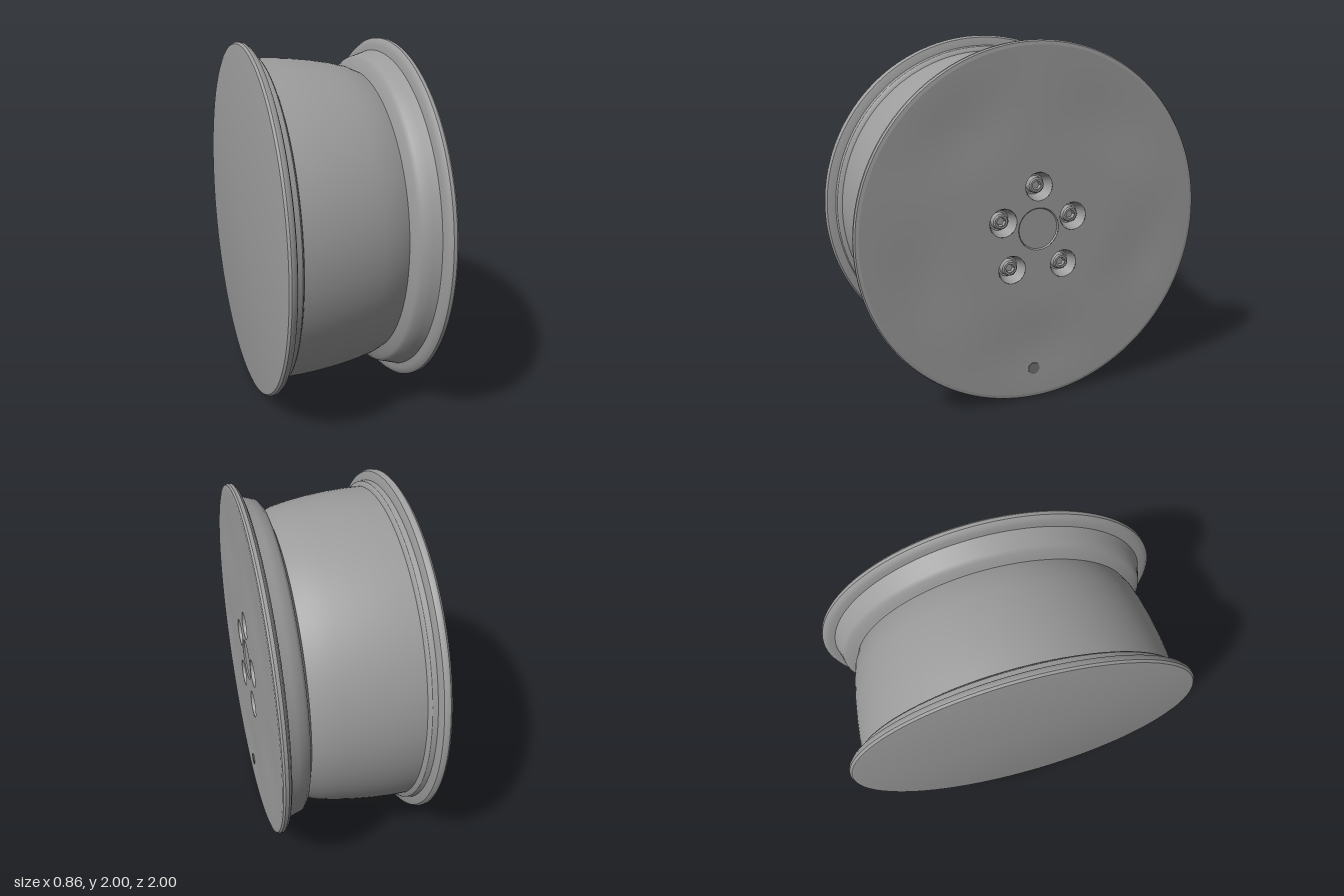
import * as THREE from 'three';
import { toCreasedNormals } from 'three/addons/utils/BufferGeometryUtils.js';

const FACE = 0.428;       // x of the outer face
const HUB = 0.4;          // radius of the flat hub area
const LUGS = [[0.235, 0], [0.053, 0.206], [0.053, -0.206], [-0.214, 0.155], [-0.214, -0.152]]; // y, z

// Turned part around the x axis; profile points are [radius, x]
function turned(profile, segments) {
  const pts = profile.map(([r, x]) => new THREE.Vector2(r, x));
  return new THREE.LatheGeometry(pts, segments).rotateZ(-Math.PI / 2);
}

export function createModel() {
  const metal = new THREE.MeshStandardMaterial({ color: 0x9c9c9c });
  metal.name = 'grey metal';
  const dark = new THREE.MeshStandardMaterial({ color: 0x747474 });
  dark.name = 'dark grey';

  const wheel = new THREE.Group();
  wheel.name = 'wheelRim';
  wheel.position.y = 1;

  function add(name, geometry, material = metal, y = 0, z = 0, x = 0) {
    const mesh = new THREE.Mesh(geometry, material);
    mesh.name = name;
    mesh.position.set(x, y, z);
    wheel.add(mesh);
  }

  // Closed back, both flanges and the tapering barrel
  add('barrel', toCreasedNormals(turned([
    [0, -0.43], [0.975, -0.43], [0.99, -0.427], [1, -0.415], [1, -0.4], [0.99, -0.385],
    [0.965, -0.376], [0.943, -0.372], [0.938, -0.345], [0.93, -0.337], [0.912, -0.33],
    [0.911, -0.24], [0.905, -0.14], [0.892, -0.02], [0.874, 0.09], [0.853, 0.18], [0.826, 0.243],
    [0.84, 0.25], [0.885, 0.262], [0.905, 0.28], [0.92, 0.33], [0.933, 0.37],
    [0.965, 0.375], [0.988, 0.384], [1, 0.397], [1, 0.415], [0.993, 0.425], [0.975, FACE],
  ], 128), 0.6));

  // Face with very shallow hollows between five broad spokes
  const rings = [];
  for (let i = 0; i <= 16; i++) rings.push([0.975 + (HUB - 0.975) * i / 16, FACE]);
  const face = turned(rings, 128);
  const p = face.attributes.position;
  for (let i = 0; i < p.count; i++) {
    const y = p.getY(i), z = p.getZ(i);
    const t = (Math.hypot(y, z) - HUB) / (0.975 - HUB);
    const hollow = (1 - Math.cos(5 * Math.atan2(z, y))) / 2;
    p.setX(i, FACE - 0.008 * hollow * Math.sin(Math.PI * Math.min(1, Math.max(0, t))) ** 2);
  }
  add('spokeFace', toCreasedNormals(face, 0.6));

  // Flat hub with openings for the lugs and the centre cap
  const shape = new THREE.Shape().absarc(0, 0, HUB, 0, Math.PI * 2);
  for (const [y, z, r] of [...LUGS.map(l => [...l, 0.078]), [0, 0, 0.118]]) {
    shape.holes.push(new THREE.Path().absarc(-z, y, r, 0, Math.PI * 2, true));
  }
  add('hub', new THREE.ShapeGeometry(shape, 64).rotateY(Math.PI / 2), metal, 0, 0, FACE);
  add('centreCap', toCreasedNormals(turned([[0.118, 0], [0.112, -0.008], [0, -0.008]], 48), 0.5),
    metal, 0, 0, FACE);

  // Lug bowls, each with a bolt and hexagonal socket
  const bowl = toCreasedNormals(turned(
    [[0.078, 0], [0.071, -0.015], [0.056, -0.07], [0, -0.07]], 32), 0.6);
  const bolt = toCreasedNormals(turned(
    [[0.046, -0.07], [0.043, -0.035], [0.036, -0.028], [0.025, -0.028]], 24), 0.5);
  const socket = toCreasedNormals(turned(
    [[0.026, -0.028], [0.022, -0.05], [0, -0.05]], 6), 0.4);
  for (const [y, z] of LUGS) {
    add('lugBowl', bowl, metal, y, z, FACE);
    add('lugBolt', bolt, metal, y, z, FACE);
    add('lugSocket', socket, metal, y, z, FACE);
  }

  // Valve spot near the rim
  add('valve', new THREE.CylinderGeometry(0.034, 0.034, 0.009, 16).rotateZ(-Math.PI / 2),
    dark, -0.82, 0.02, FACE - 0.003);

  return wheel;
}
